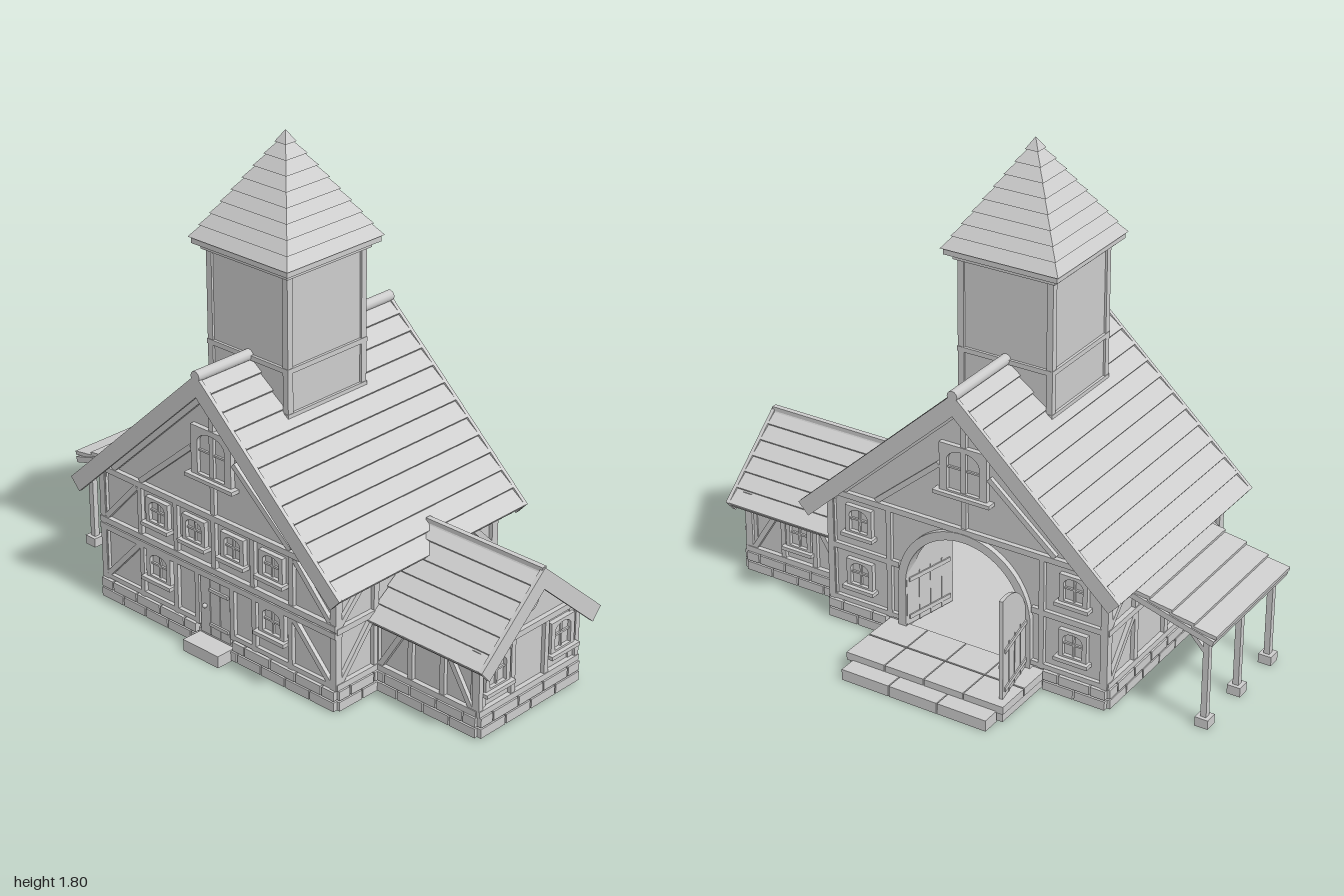
import * as THREE from 'three';

const stone = new THREE.MeshStandardMaterial({ color: 0xcccccc });
stone.name = 'pale grey';

function add(parent, name, geo, x = 0, y = 0, z = 0, rz = 0) {
  const m = new THREE.Mesh(geo, stone);
  m.name = name;
  m.position.set(x, y, z);
  m.rotation.z = rz;
  parent.add(m);
  return m;
}
const box = (p, name, w, h, d, x, y, z, rz) => add(p, name, new THREE.BoxGeometry(w, h, d), x, y, z, rz);

function group(parent, name, x = 0, y = 0, z = 0, ry = 0) {
  const g = new THREE.Group();
  g.name = name;
  g.position.set(x, y, z);
  g.rotation.y = ry;
  parent.add(g);
  return g;
}
const extrude = (shape, depth) => new THREE.ExtrudeGeometry(shape, { depth, bevelEnabled: false, curveSegments: 16 });
const polygon = pts => new THREE.Shape(pts.map(p => new THREE.Vector2(...p)));

// Timber running between two points of a facade
function beam(p, x1, y1, x2, y2, w = 0.02, d = 0.03) {
  const len = Math.hypot(x2 - x1, y2 - y1);
  return box(p, 'timber', len, w, d, (x1 + x2) / 2, (y1 + y2) / 2, 0, Math.atan2(y2 - y1, x2 - x1));
}
const post = (p, x, y1, y2, w = 0.02) => beam(p, x, y1, x, y2, w);
const rail = (p, half, y, w = 0.022) => beam(p, -half, y, half, y, w, 0.036);

// Rectangular window surround with an arched opening, crossbars and sill
function windowUnit(p, x, y, w = 0.1, h = 0.11) {
  const g = group(p, 'window', x, y, 0);
  const a = w / 2, o = a * 0.68, spring = h * 0.68;
  const s = polygon([[-a, 0], [a, 0], [a, h], [-a, h]]);
  const hole = new THREE.Path();
  hole.moveTo(-o, 0.012);
  hole.lineTo(o, 0.012);
  hole.lineTo(o, spring);
  hole.absellipse(0, spring, o, h * 0.22, 0, Math.PI, false);
  hole.lineTo(-o, 0.012);
  s.holes.push(hole);
  add(g, 'windowFrame', extrude(s, 0.018));
  box(g, 'windowPane', o * 2, h * 0.9, 0.004, 0, h / 2, 0.002);
  box(g, 'windowBar', 0.007, h * 0.9, 0.01, 0, h / 2, 0.006);
  box(g, 'windowBar', o * 2, 0.007, 0.01, 0, h * 0.52, 0.006);
  box(g, 'windowSill', w * 1.2, 0.014, 0.04, 0, -0.002, 0.014);
}

// Two staggered courses of foundation blocks
function bricks(p, x1, x2, rows = [0, 1]) {
  for (const r of rows) {
    const n = Math.max(1, Math.round((x2 - x1) / 0.12)), step = (x2 - x1) / n;
    for (let i = 0; i < n + r; i++) {
      const a = Math.max(x1, x1 + (i - r / 2) * step), b = Math.min(x2, x1 + (i + 1 - r / 2) * step);
      box(p, 'foundationBlock', b - a - 0.006, 0.034, 0.04, (a + b) / 2, 0.023 + r * 0.04, 0.004);
    }
  }
}

// One roof pitch of overlapping courses falling toward side s
function pitch(parent, s, x, y, angle, len, rows, z1, z2, barge = []) {
  const g = group(parent, 'roofPitch', x, y, 0);
  g.rotation.z = -s * angle;
  const zc = (z1 + z2) / 2, p = len / rows;
  box(g, 'roofDeck', len, 0.022, z2 - z1 - 0.01, s * len / 2, -0.024, zc);
  for (let i = 0; i < rows; i++)
    box(g, 'roofCourse', p * 1.08, 0.014, z2 - z1 - 0.02, s * (i + 0.5) * p, -0.006, zc, s * 0.13);
  for (const z of barge) box(g, 'bargeBoard', len + 0.005, 0.06, 0.014, s * len / 2, -0.025, z);
}

// Gabled wall, optionally with an arched doorway of half-width o
function gableWall(p, half, shoulder, apex, o = 0, spring = 0) {
  const s = new THREE.Shape();
  s.moveTo(-half, 0.03);
  if (o) {
    s.lineTo(-o, 0.03);
    s.lineTo(-o, spring);
    s.absarc(0, spring, o, Math.PI, 0, true);
    s.lineTo(o, 0.03);
  }
  s.lineTo(half, 0.03);
  s.lineTo(half, shoulder);
  s.lineTo(0, apex);
  s.lineTo(-half, shoulder);
  add(p, 'gableWall', extrude(s, 0.03), 0, 0, -0.03);
}

function gableTimbers(p) {
  rail(p, 0.57, 0.517);
  post(p, 0, 0.53, 1.0);
  for (const s of [-1, 1]) {
    post(p, s * 0.557, 0.08, 0.51, 0.026);
    beam(p, s * 0.36, 0.53, s * 0.1, 0.75);
    beam(p, s * 0.5, 0.53, 0, 0.99, 0.025);
  }
  windowUnit(p, 0, 0.655, 0.19, 0.185);
}

function buildHouse(root) {
  const h = group(root, 'mainHouse');
  box(h, 'foundation', 1.12, 0.06, 0.79, -0.065, 0.03, 0.125);

  // Front facade
  const f = group(h, 'frontFacade', -0.065, 0, 0.515);
  gableWall(f, 0.555, 0.5, 1.01);
  gableTimbers(f);
  rail(f, 0.57, 0.315);
  rail(f, 0.57, 0.288);
  bricks(f, -0.57, 0.57, [0]);
  bricks(f, -0.57, -0.085, [1]);
  bricks(f, 0.09, 0.57, [1]);
  for (const s of [-1, 1]) {
    beam(f, s * 0.09, 0.092, s * 0.565, 0.092, 0.018);
    for (const x of [0.085, 0.19, 0.36]) post(f, s * x, 0.08, 0.285);
    for (const x of [0.185, 0.365]) post(f, s * x, 0.32, 0.51);
    beam(f, s * 0.54, 0.1, s * 0.37, 0.28);
    beam(f, s * 0.54, 0.33, s * 0.38, 0.5);
    windowUnit(f, s * 0.275, 0.17, 0.12, 0.11);
    for (const x of [0.093, 0.275]) windowUnit(f, s * x, 0.385, 0.11, 0.1);
  }
  post(f, 0, 0.32, 0.51);
  const d = group(f, 'frontDoor');
  for (let i = 0; i < 3; i++) box(d, 'doorPlank', 0.045, 0.22, 0.014, -0.048 + i * 0.048, 0.165, 0.004);
  for (const y of [0.1, 0.235]) box(d, 'doorHinge', 0.09, 0.012, 0.01, 0.022, y, 0.014);
  add(d, 'doorKnob', new THREE.SphereGeometry(0.009, 10, 8), -0.045, 0.165, 0.018);
  box(f, 'frontStep', 0.17, 0.045, 0.085, 0, 0.0225, 0.0425);

  // Back facade with the great arched doorway
  const b = group(h, 'backFacade', -0.065, 0, -0.265, Math.PI);
  gableWall(b, 0.555, 0.5, 1.01, 0.24, 0.24);
  gableTimbers(b);
  const arch = new THREE.Shape();
  arch.moveTo(-0.27, 0.06);
  arch.lineTo(-0.27, 0.24);
  arch.absarc(0, 0.24, 0.27, Math.PI, 0, true);
  arch.lineTo(0.27, 0.06);
  arch.lineTo(0.238, 0.06);
  arch.lineTo(0.238, 0.24);
  arch.absarc(0, 0.24, 0.238, 0, Math.PI, false);
  arch.lineTo(-0.238, 0.06);
  add(b, 'archTrim', extrude(arch, 0.05), 0, 0, -0.03);
  for (const s of [-1, 1]) {
    bricks(b, s < 0 ? -0.57 : 0.32, s < 0 ? -0.32 : 0.57);
    beam(b, s * 0.27, 0.092, s * 0.565, 0.092, 0.018);
    beam(b, s * 0.27, 0.302, s * 0.565, 0.302, 0.022);
    post(b, s * 0.31, 0.08, 0.51);
    for (const y of [0.155, 0.37]) windowUnit(b, s * 0.435, y, 0.11, 0.11);
    // Half-arch door leaf, swung open
    const leaf = group(b, 'archDoor', s * 0.243, 0, 0.012, s < 0 ? -Math.PI / 2 - 0.2 : Math.PI * 1.5 + 0.2);
    const q = new THREE.Shape();
    q.moveTo(0, 0.07);
    q.lineTo(s * 0.225, 0.07);
    q.lineTo(s * 0.225, 0.45);
    q.absellipse(s * 0.225, 0.25, 0.225, 0.2, Math.PI / 2, s > 0 ? Math.PI : 0, s < 0);
    add(leaf, 'doorLeaf', extrude(q, 0.014), 0, 0, -0.007);
    for (const y of [0.1, 0.25]) box(leaf, 'doorStrap', 0.2, 0.016, 0.024, s * 0.11, y, 0);
    for (const x of [0.06, 0.115, 0.17]) box(leaf, 'plankJoint', 0.004, 0.2, 0.018, s * x, 0.17, 0);
    add(leaf, 'doorRing', new THREE.TorusGeometry(0.014, 0.004, 6, 16), s * 0.19, 0.18, 0.012);
  }

  // Side facades
  for (const s of [-1, 1]) {
    const w = group(h, s < 0 ? 'rightFacade' : 'leftFacade', s < 0 ? -0.62 : 0.49, 0, 0.125, s * Math.PI / 2);
    box(w, 'sideWall', 0.78, 0.48, 0.03, 0, 0.26, -0.015);
    for (const y of [0.092, 0.302, 0.495]) rail(w, 0.4, y);
    bricks(w, -0.4, 0.4);
    for (const x of [-0.39, -0.21, 0, 0.21, 0.39]) post(w, x, 0.08, 0.5, 0.024);
    for (const t of [-1, 1]) {
      beam(w, t * 0.38, 0.1, t * 0.22, 0.29);
      beam(w, t * 0.38, 0.32, t * 0.22, 0.48);
    }
  }

  // Main roof and ridge pole
  const r = group(h, 'mainRoof');
  for (const s of [-1, 1]) pitch(r, s, -0.065, 1.06, 0.744, 0.87, 12, -0.34, 0.59, [-0.337, 0.587]);
  add(r, 'ridgePole', new THREE.CylinderGeometry(0.02, 0.02, 0.94, 12).rotateX(Math.PI / 2), -0.065, 1.06, 0.125);
}

function buildPorch(root) {
  const p = group(root, 'backPorch', -0.065, 0, 0);
  box(p, 'porchBase', 0.62, 0.055, 0.255, 0, 0.0275, -0.395);
  for (let i = 0; i < 4; i++) for (const [z, dz] of [[-0.33, 0.13], [-0.467, 0.132]])
    box(p, 'porchSlab', 0.156, 0.03, dz, (i - 1.5) * 0.16, 0.052, z);
  for (let i = -1; i <= 1; i++) box(p, 'stepStone', 0.192, 0.042, 0.07, i * 0.196, 0.021, -0.565);
}

function buildAnnex(root) {
  const a = group(root, 'annex');
  box(a, 'annexFoundation', 0.45, 0.08, 0.49, 0.715, 0.04, 0.075);
  // End gable
  const e = group(a, 'annexGable', 0.935, 0, 0.075, Math.PI / 2);
  gableWall(e, 0.245, 0.297, 0.51);
  bricks(e, -0.255, 0.255);
  for (const y of [0.092, 0.312]) rail(e, 0.255, y);
  for (const x of [-0.245, -0.085, 0.085, 0.245]) post(e, x, 0.08, 0.31);
  for (const s of [-1, 1]) windowUnit(e, s * 0.165, 0.16, 0.12, 0.12);
  add(e, 'roundWindow', new THREE.CylinderGeometry(0.036, 0.036, 0.012, 24).rotateX(Math.PI / 2), 0, 0.41, 0.004);
  add(e, 'roundWindowRim', new THREE.TorusGeometry(0.038, 0.006, 6, 24), 0, 0.41, 0.006);
  // Long sides
  for (const s of [-1, 1]) {
    const w = group(a, 'annexSide', 0.715, 0, 0.075 + s * 0.24, s > 0 ? 0 : Math.PI);
    box(w, 'annexWall', 0.45, 0.27, 0.03, 0, 0.165, -0.015);
    bricks(w, -0.23, 0.23);
    for (const y of [0.092, 0.3]) rail(w, 0.225, y);
    for (const x of [-0.215, -0.065, 0.075, 0.215]) post(w, x, 0.08, 0.3);
    for (const t of [-1, 1]) beam(w, t * 0.2, 0.1, t * 0.085, 0.285);
    if (s < 0) windowUnit(w, 0.005, 0.155, 0.11, 0.12);
  }
  const r = group(a, 'annexRoof', 0, 0, 0.075, Math.PI / 2);
  for (const s of [-1, 1]) pitch(r, s, 0, 0.545, 0.716, 0.395, 6, 0.49, 0.995, [0.992]);
  box(r, 'annexRidge', 0.02, 0.016, 0.5, 0, 0.545, 0.745);
}

function buildLeanTo(root) {
  const l = group(root, 'leanTo');
  pitch(l, -1, -0.66, 0.465, 0.275, 0.348, 4, -0.215, 0.335);
  box(l, 'leanToBeam', 0.022, 0.022, 0.5, -0.95, 0.35, 0.06);
  for (const z of [-0.17, 0.06, 0.29]) {
    const p = group(l, 'leanToPost', -0.95, 0, z);
    box(p, 'postBase', 0.05, 0.035, 0.05, 0, 0.0175, 0);
    box(p, 'post', 0.022, 0.32, 0.022, 0, 0.19, 0);
    beam(p, 0, 0.28, 0.075, 0.36, 0.015, 0.016);
    box(p, 'rafter', 0.32, 0.018, 0.018, 0.13, 0.39, 0, 0.275);
  }
}

function buildTower(root) {
  const t = group(root, 'tower', -0.065, 0, 0.167);
  box(t, 'towerWall', 0.36, 0.55, 0.36, 0, 1.13, 0);
  for (const x of [-0.176, 0.176]) for (const z of [-0.176, 0.176])
    box(t, 'cornerPost', 0.024, 0.53, 0.024, x, 1.14, z);
  for (const [half, h, y] of [[0.19, 0.018, 1.055], [0.19, 0.016, 0.893], [0.2, 0.02, 1.397], [0.222, 0.022, 1.418]])
    box(t, 'towerBand', half * 2, h, half * 2, 0, y, 0);
  // Stepped pyramid roof
  const n = 9, h = 0.37 / n;
  for (let i = 0; i < n; i++) {
    const lo = 0.23 * (1 - i / n), hi = Math.max(0, 0.23 * (1 - (i + 1) / n) - 0.007);
    const geo = new THREE.CylinderGeometry(hi * Math.SQRT2, lo * Math.SQRT2, h, 4).rotateY(Math.PI / 4).toNonIndexed();
    geo.computeVertexNormals();
    add(t, 'spireCourse', geo, 0, 1.43 + (i + 0.5) * h, 0);
  }
}

export function createModel() {
  const root = new THREE.Group();
  root.name = 'timberHall';
  buildHouse(root);
  buildPorch(root);
  buildAnnex(root);
  buildLeanTo(root);
  buildTower(root);
  return root;
}
